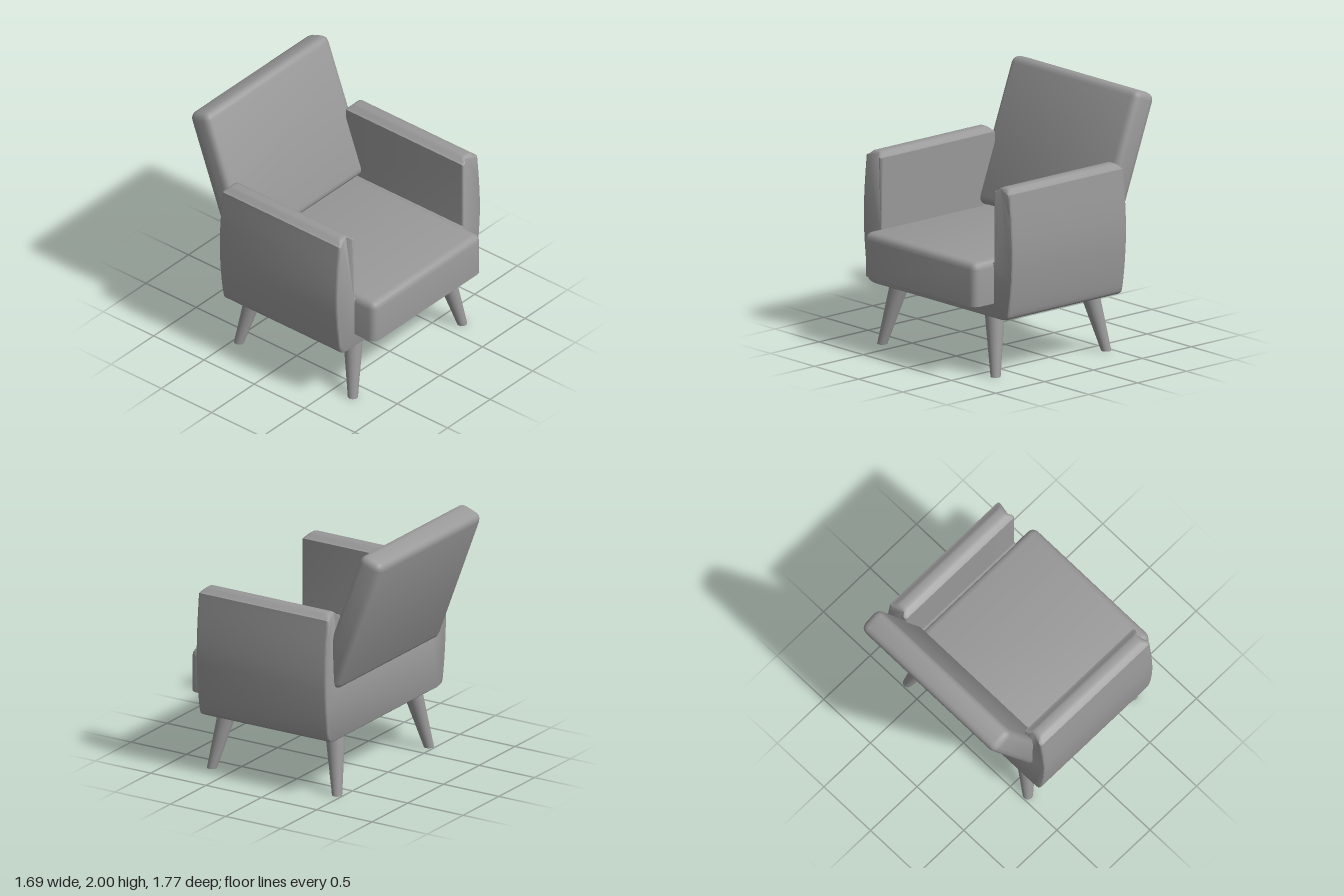
import * as THREE from 'three';
import { toCreasedNormals } from 'three/addons/utils/BufferGeometryUtils.js';
import { RoundedBoxGeometry } from 'three/addons/geometries/RoundedBoxGeometry.js';

const material = new THREE.MeshStandardMaterial({ color: 0x999999 });

function add(parent, name, geometry, x = 0, y = 0, z = 0) {
  const mesh = new THREE.Mesh(geometry, material);
  mesh.name = name;
  mesh.position.set(x, y, z);
  parent.add(mesh);
  return mesh;
}

// Move every vertex of a geometry by a rule
function warp(geometry, rule) {
  const p = geometry.attributes.position;
  const v = new THREE.Vector3();
  for (let i = 0; i < p.count; i++) {
    rule(v.fromBufferAttribute(p, i));
    p.setXYZ(i, v.x, v.y, v.z);
  }
  return geometry;
}

const toPoints = (pairs) => pairs.map(([x, y]) => new THREE.Vector2(x, y));

// Shell: base and both bulging arms in one section, extruded front to back
function frameGeometry() {
  const outer = new THREE.SplineCurve(toPoints([
    [0.72, 0.46], [0.775, 0.473], [0.802, 0.52], [0.83, 0.72],
    [0.845, 0.96], [0.836, 1.2], [0.812, 1.46],
  ])).getPoints(24);
  const armTop = toPoints([
    [0.79, 1.468], [0.77, 1.492], [0.75, 1.499], [0.7, 1.499], [0.68, 1.492], [0.66, 1.468], [0.637, 1.46],
  ]);
  const right = [...outer, ...armTop, new THREE.Vector2(0.637, 0.9)];
  const left = right.map((p) => new THREE.Vector2(-p.x, p.y)).reverse();
  const geometry = new THREE.ExtrudeGeometry(new THREE.Shape([...right, ...left]), {
    depth: 1.13, bevelThickness: 0.02, bevelSize: 0.008, bevelOffset: -0.008, bevelSegments: 2,
  });
  geometry.translate(0, 0, -0.46);
  // Slope the ends of the arm tops
  warp(geometry, (v) => {
    v.z -= Math.sign(v.z) * Math.max(0, v.y - 1.46);
  });
  return toCreasedNormals(geometry, 1);
}

// Padded block with soft shading
function padGeometry(width, height, depth) {
  return new RoundedBoxGeometry(width, height, depth, 2, 0.06);
}

// Tapered leg, sheared so that it splays but keeps its foot level
function legGeometry(dx, dz) {
  const h = 0.5;
  const geometry = new THREE.CylinderGeometry(0.079, 0.039, h, 20);
  geometry.translate(0, h / 2, 0);
  warp(geometry, (v) => {
    v.x -= dx * v.y / h;
    v.z -= dz * v.y / h;
  });
  return toCreasedNormals(geometry, 0.7);
}

export function createModel() {
  const chair = new THREE.Group();
  chair.name = 'armchair';

  add(chair, 'frame', frameGeometry());

  // Seat cushion: rounded above, flat below
  const cushion = warp(padGeometry(1.27, 0.45, 1.34), (v) => {
    v.y = Math.max(v.y, -0.12);
  });
  add(chair, 'seatCushion', toCreasedNormals(cushion, 1), 0, 0.695, 0.215);

  // Reclined backrest
  const backrest = toCreasedNormals(padGeometry(1.44, 1.155, 0.21), 1);
  add(chair, 'backrest', backrest, 0, 1.438, -0.604).rotation.x = -0.357;

  // Splayed legs, placed by the centre of each foot
  for (const side of [1, -1]) {
    const label = side > 0 ? 'Left' : 'Right';
    add(chair, 'front' + label + 'Leg', legGeometry(side * 0.11, 0.09), side * 0.642, 0, 0.678);
    add(chair, 'back' + label + 'Leg', legGeometry(side * 0.11, -0.09), side * 0.642, 0, -0.453);
  }

  return chair;
}
